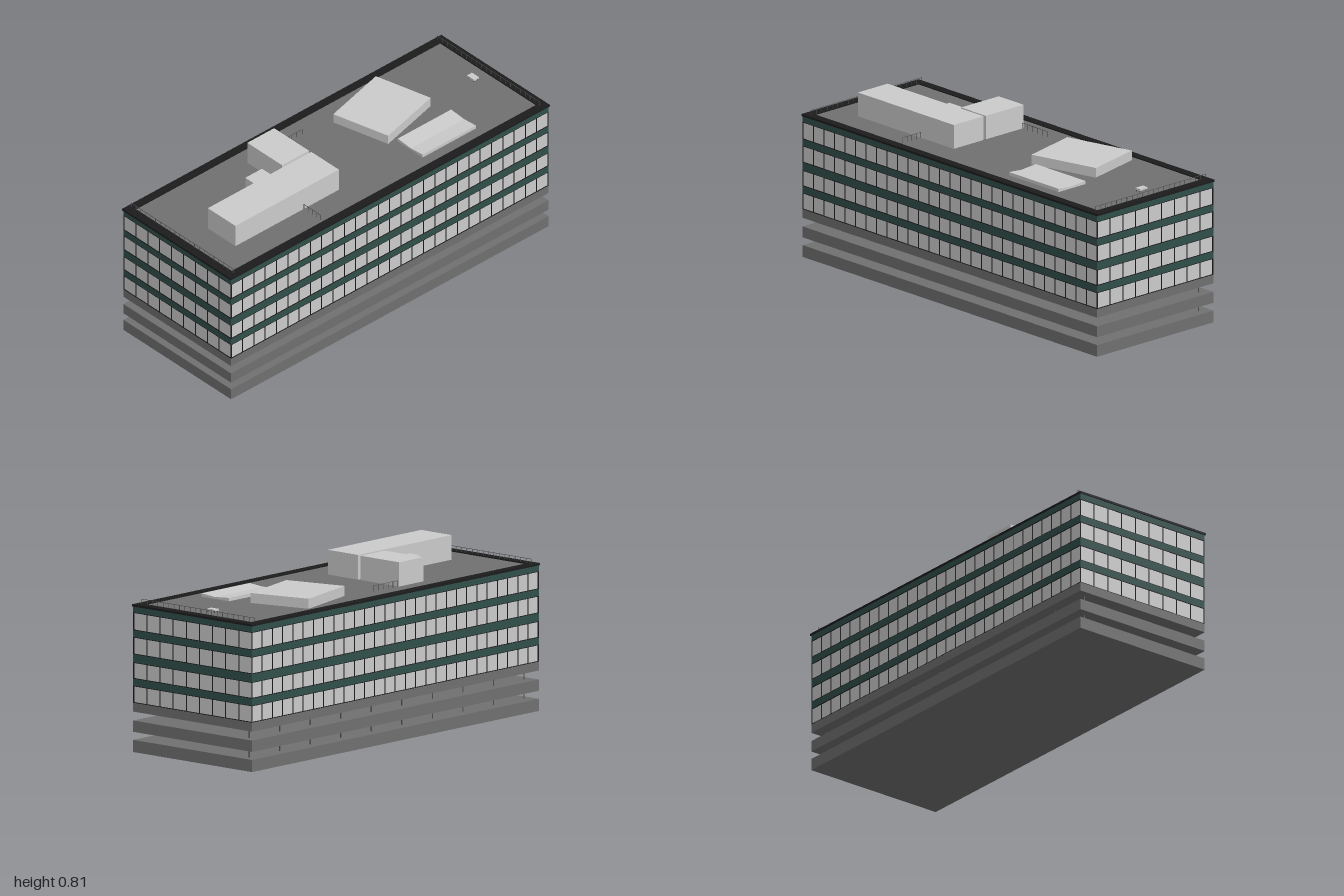
import * as THREE from 'three';

export function createModel() {
  const model = new THREE.Group();
  const mat = (color) => new THREE.MeshStandardMaterial({ color, flatShading: true });
  const light = mat(0xcccccc), concrete = mat(0x707070), green = mat(0x304f4a), black = mat(0x1c1c1c);
  const steel = mat(0x505050);

  // Box given by its minimum and maximum on each axis
  function box(name, material, x0, x1, y0, y1, z0, z1, parent = model) {
    const mesh = new THREE.Mesh(new THREE.BoxGeometry(x1 - x0, y1 - y0, z1 - z0), material);
    mesh.position.set((x0 + x1) / 2, (y0 + y1) / 2, (z0 + z1) / 2);
    mesh.name = name;
    parent.add(mesh);
    return mesh;
  }
  // Box centred on the building axis
  const layer = (name, material, hx, hz, y0, y1) => box(name, material, -hx, hx, y0, y1, -hz, hz);

  const HX = 0.995, HZ = 0.367;

  // Open parking decks
  for (const [y0, y1] of [[0, 0.057], [0.095, 0.148], [0.19, 0.232]])
    layer('parkingDeck', concrete, HX, HZ, y0, y1);

  // Slim columns along the rear of the decks
  for (const [y0, y1] of [[0.057, 0.095], [0.148, 0.19]])
    for (let i = 0; i < 10; i++) {
      const column = new THREE.Mesh(new THREE.CylinderGeometry(0.003, 0.003, y1 - y0, 8), steel);
      column.position.set(-0.953 + i * 0.2118, (y0 + y1) / 2, -0.313);
      column.name = 'column';
      model.add(column);
    }

  // Office floors: glazing, frames, mullions and spandrel bands
  const floors = [[0.232, 0.312, 0.345], [0.345, 0.422, 0.46], [0.46, 0.541, 0.573], [0.573, 0.657, 0.686]];
  for (const [y0, y1, y2] of floors) {
    layer('glazing', light, HX - 0.003, HZ - 0.003, y0, y1);
    layer('lowerFrame', black, HX, HZ, y0, y0 + 0.003);
    layer('upperFrame', black, HX, HZ, y1 - 0.003, y1);
    layer('spandrelBand', green, HX, HZ, y1, y2);
    const mullions = new THREE.Group();
    mullions.name = 'mullions';
    model.add(mullions);
    const w = 0.0018;
    for (let i = 0; i <= 28; i++) {
      const x = -HX + w + (i / 28) * 2 * (HX - w);
      for (const s of [-1, 1]) {
        const z = s * (HZ - 0.002);
        box('mullion', black, x - w, x + w, y0, y1, z - 0.002, z + 0.002, mullions);
      }
    }
    for (let i = 0; i <= 9; i++) {
      const z = -HZ + w + (i / 9) * 2 * (HZ - w);
      for (const s of [-1, 1]) {
        const x = s * (HX - 0.002);
        box('mullion', black, x - 0.002, x + 0.002, y0, y1, z - w, z + w, mullions);
      }
    }
  }

  // Roof deck and the dark coping around it
  const roofY = 0.69;
  layer('roofDeck', concrete, 0.97, 0.345, 0.68, roofY);
  const rect = (path, x, z) => path.moveTo(-x, -z).lineTo(x, -z).lineTo(x, z).lineTo(-x, z).closePath();
  const ring = rect(new THREE.Shape(), 1, 0.37);
  ring.holes.push(rect(new THREE.Path(), 0.955, 0.328));
  const coping = new THREE.Mesh(new THREE.ExtrudeGeometry(ring, { depth: 0.01, bevelEnabled: false }), black);
  coping.rotation.x = -Math.PI / 2;
  coping.position.y = 0.685;
  coping.name = 'coping';
  model.add(coping);

  // Plant rooms
  box('longPlantRoom', light, -0.808, -0.16, roofY, 0.806, 0.005, 0.193);
  box('rearPlantRoom', light, -0.328, -0.16, roofY, 0.804, -0.248, -0.01);
  box('smallPlantRoom', light, -0.488, -0.383, roofY, 0.77, -0.088, -0.023);

  // Turned roof block
  const turned = box('turnedRoofBlock', light, -0.1775, 0.1775, roofY, 0.737, -0.152, 0.152);
  turned.position.x = 0.385;
  turned.position.z = -0.105;
  turned.rotation.y = 0.241;

  // Shallow skylight with a valley across its top
  const profile = new THREE.Shape([[-0.27, roofY], [-0.1, roofY], [-0.1, 0.706], [-0.19, 0.699], [-0.27, 0.706]]
    .map(([z, y]) => new THREE.Vector2(z, y)));
  const skylight = new THREE.Mesh(new THREE.ExtrudeGeometry(profile, { depth: 0.335, bevelEnabled: false }), light);
  skylight.rotation.y = Math.PI / 2;
  skylight.position.x = 0.295;
  skylight.name = 'skylight';
  model.add(skylight);

  // Small raised vent unit on four legs
  box('ventUnit', light, 0.863, 0.894, 0.698, 0.707, -0.045, 0.002);
  for (const x of [0.867, 0.89])
    for (const z of [-0.041, -0.002])
      box('ventLeg', steel, x - 0.0015, x + 0.0015, roofY, 0.698, z - 0.0015, z + 0.0015);

  // Thin railings: top rail with posts at even steps
  function railing(x0, z0, x1, z1, posts, top = 0.718) {
    const group = new THREE.Group();
    group.name = 'railing';
    model.add(group);
    const t = 0.0009;
    box('topRail', steel, Math.min(x0, x1) - t, Math.max(x0, x1) + t, top - 2 * t, top,
      Math.min(z0, z1) - t, Math.max(z0, z1) + t, group);
    for (let i = 0; i < posts; i++) {
      const k = i / (posts - 1), x = x0 + (x1 - x0) * k, z = z0 + (z1 - z0) * k;
      box('post', steel, x - t, x + t, roofY, top, z - t, z + t, group);
    }
  }
  for (const s of [-1, 1]) railing(s * 0.96, -0.353, s * 0.96, 0.345, 22);
  railing(-0.16, -0.24, 0.01, -0.24, 6);
  railing(-0.38, 0.195, -0.38, 0.31, 5);

  return model;
}
